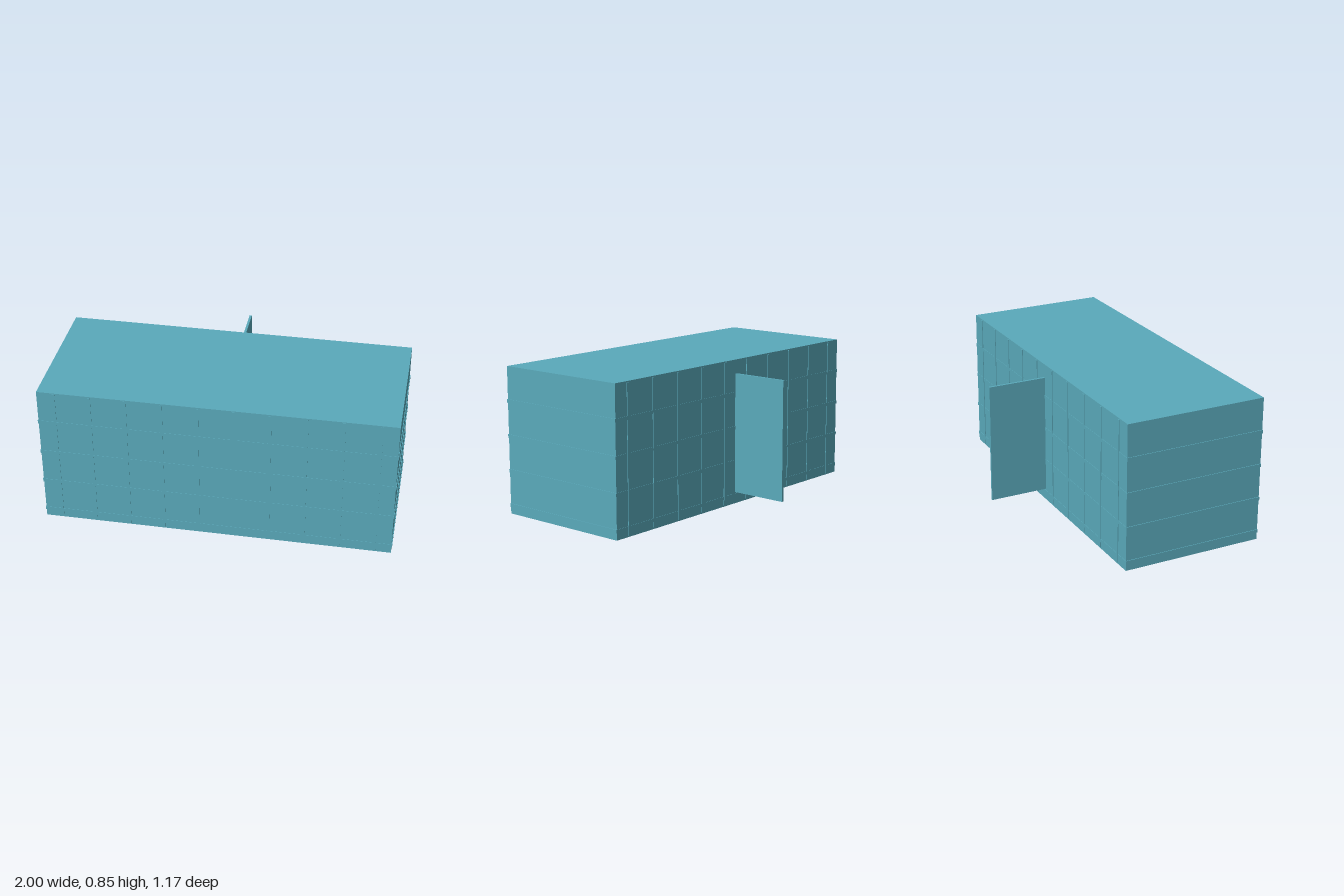
import * as THREE from 'three';

const material = new THREE.MeshStandardMaterial({ color: 0x5aaabb });

// Box given by its min and max corners
function box(name, [x0, y0, z0], [x1, y1, z1]) {
  const mesh = new THREE.Mesh(new THREE.BoxGeometry(x1 - x0, y1 - y0, z1 - z0), material);
  mesh.name = name;
  mesh.position.set((x0 + x1) / 2, (y0 + y1) / 2, (z0 + z1) / 2);
  return mesh;
}

export function createModel() {
  const model = new THREE.Group();
  model.name = 'building';

  // Main block
  model.add(box('block', [-0.996, 0, -0.244], [0.996, 0.847, 0.584]));

  // Shallow floor bands wrapping all four walls
  for (let i = 0; i < 4; i++) {
    const y = 0.05 + i * 0.2;
    model.add(box('floorBand', [-1, y - 0.01, -0.246], [1, y + 0.01, 0.586]));
  }

  // Thin upright ribs on the front and back walls
  for (let i = 0; i < 10; i++) {
    const x = -0.9 + i * 0.2;
    model.add(box('frontRib', [x - 0.008, 0.008, 0.58], [x + 0.008, 0.84, 0.587]));
    model.add(box('backRib', [x - 0.008, 0.008, -0.248], [x + 0.008, 0.84, -0.24]));
  }

  // Upright fin standing out from the back wall
  model.add(box('backFin', [-0.007, 0.068, -0.587], [0.007, 0.766, -0.24]));

  return model;
}
